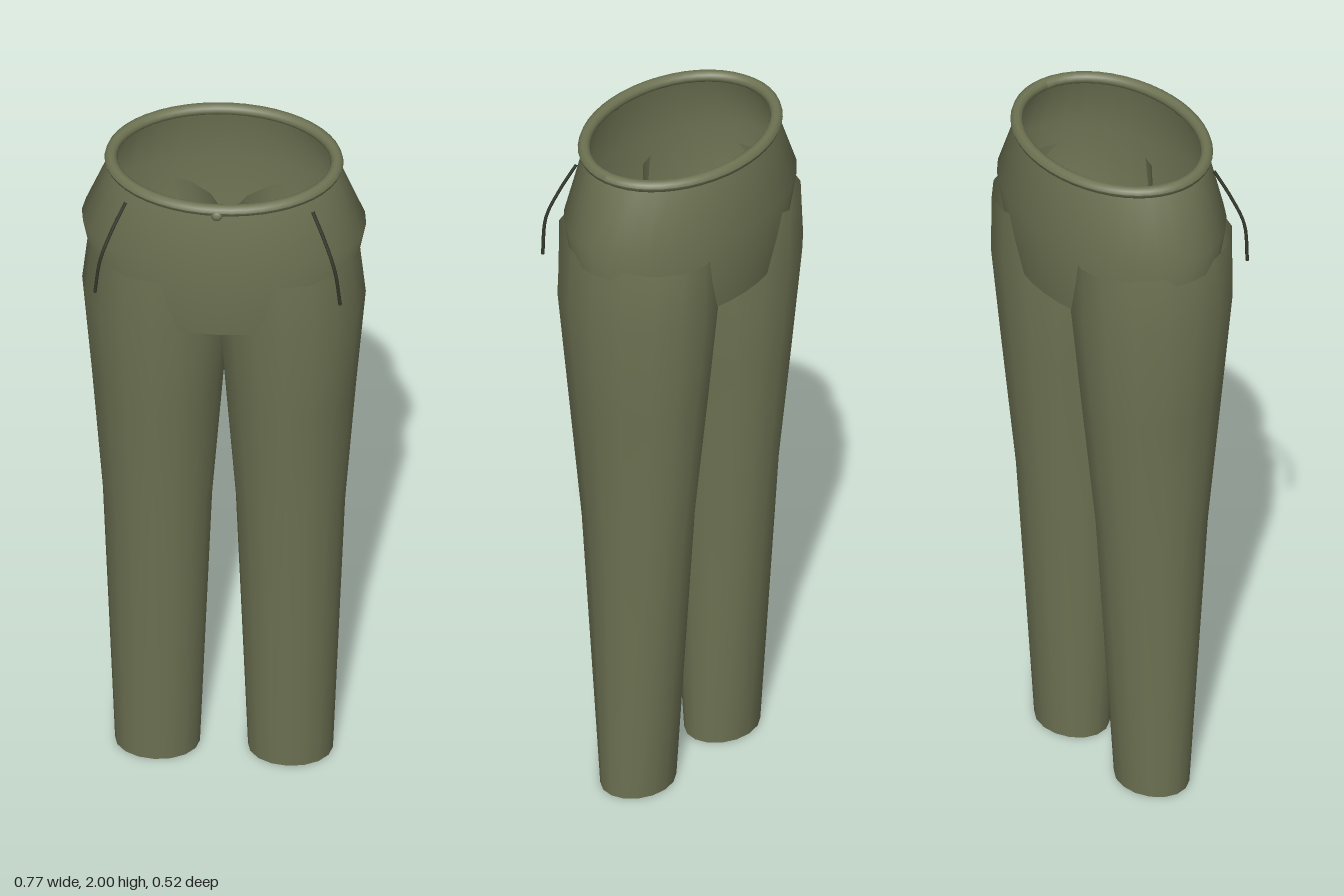
import * as THREE from 'three';

// Open tube lofted through elliptical rings [y, rx, rz], listed from bottom to top
function loft(rings, segments) {
  const pos = [], idx = [];
  const row = segments;
  for (const [y, rx, rz] of rings) {
    for (let i = 0; i < segments; i++) {
      const a = (i / segments) * Math.PI * 2;
      pos.push(Math.sin(a) * rx, y, Math.cos(a) * rz);
    }
  }
  for (let j = 0; j < rings.length - 1; j++) {
    for (let i = 0; i < segments; i++) {
      const n = (i + 1) % segments;
      const a = j * row + i, b = j * row + n, c = a + row, d = b + row;
      idx.push(a, b, d, a, d, c);
    }
  }
  const g = new THREE.BufferGeometry();
  g.setAttribute('position', new THREE.Float32BufferAttribute(pos, 3));
  g.setIndex(idx);
  g.computeVertexNormals();
  return g;
}

export function createModel() {
  const model = new THREE.Group();
  model.name = 'trousers';

  const cloth = new THREE.MeshStandardMaterial({ color: 0x6e7353, side: THREE.DoubleSide });
  cloth.name = 'olive cloth';
  const stitch = new THREE.MeshStandardMaterial({ color: 0x34372a });
  stitch.name = 'dark stitching';

  const add = (name, geometry, material) => {
    const mesh = new THREE.Mesh(geometry, material);
    mesh.name = name;
    model.add(mesh);
    return mesh;
  };

  // Hips: open shell, widest below the waist
  add('hips', loft([
    [1.56, 0.34, 0.228],
    [1.79, 0.385, 0.26],
    [1.98, 0.308, 0.224],
  ], 32), cloth);

  // Rolled waistband, an ellipse with a round section
  const band = new THREE.TorusGeometry(1, 0.017, 10, 48);
  band.rotateX(Math.PI / 2);
  const p = band.attributes.position;
  for (let i = 0; i < p.count; i++) {
    const x = p.getX(i), z = p.getZ(i), r = Math.hypot(x, z);
    const grow = r - 1;
    p.setX(i, (x / r) * (0.306 + grow));
    p.setZ(i, (z / r) * (0.225 + grow));
  }
  band.computeVertexNormals();
  add('waistband', band, cloth).position.y = 1.983;

  // Front button
  add('button', new THREE.SphereGeometry(0.017, 10, 8), cloth).position.set(0, 1.972, 0.232);

  // Legs and pocket edges, mirrored
  for (const s of [1, -1]) {
    const side = s > 0 ? 'left' : 'right';
    add(side + 'Leg', loft([
      [0, 0.115, 0.094],
      [0.85, 0.148, 0.158],
      [1.25, 0.178, 0.201],
      [1.56, 0.204, 0.232],
      [1.735, 0.185, 0.235],
    ], 16), cloth).position.x = s * 0.18;

    const path = new THREE.CatmullRomCurve3([
      new THREE.Vector3(s * 0.253, 1.94, 0.155),
      new THREE.Vector3(s * 0.29, 1.86, 0.186),
      new THREE.Vector3(s * 0.318, 1.78, 0.209),
      new THREE.Vector3(s * 0.332, 1.67, 0.209),
    ]);
    add(side + 'PocketEdge', new THREE.TubeGeometry(path, 16, 0.005, 6), stitch);
  }
  return model;
}
